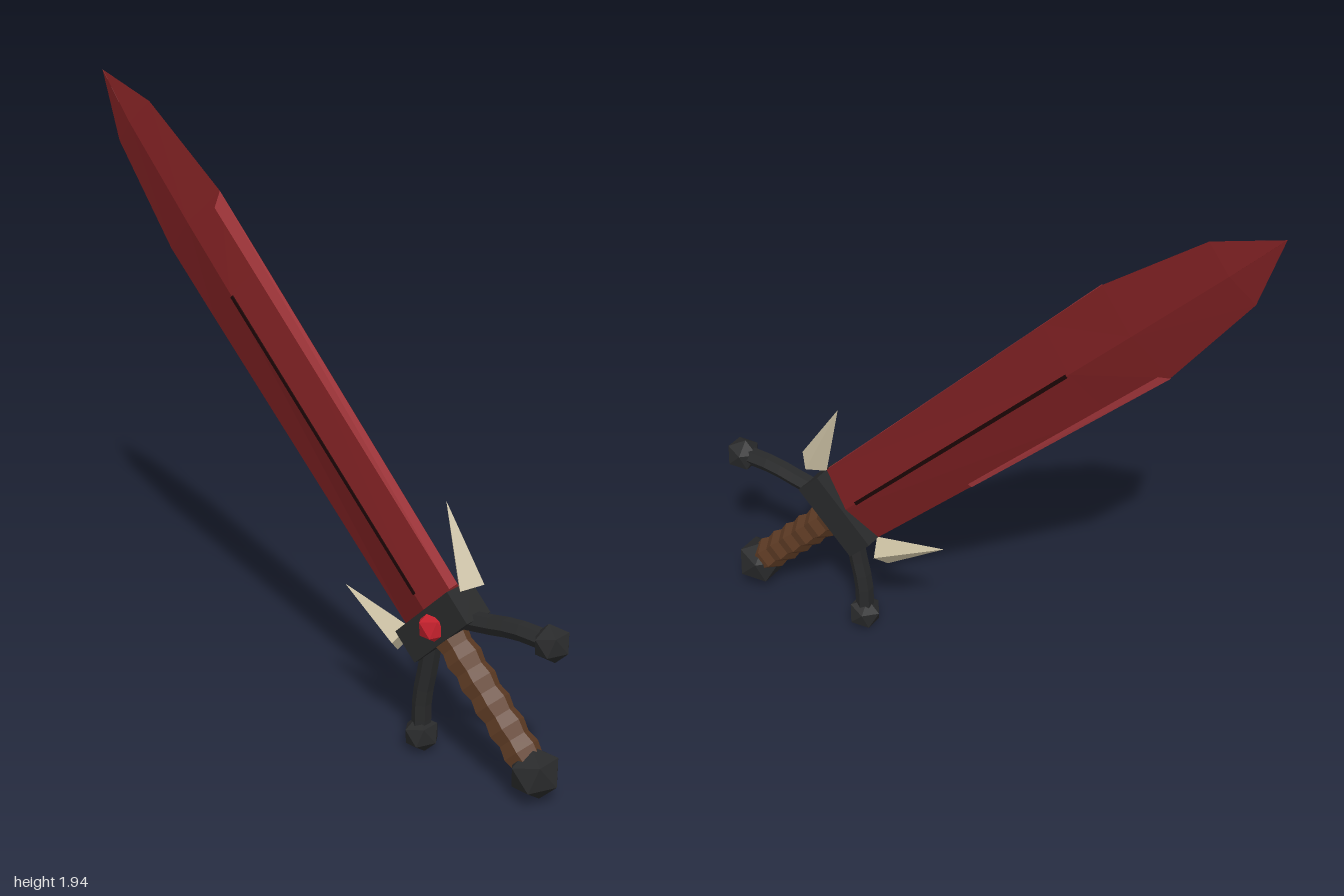
import * as THREE from 'three';

const mat = (name, color, side = THREE.FrontSide) =>
  new THREE.MeshStandardMaterial({ name, color, side, flatShading: true });

// Lofts diamond cross-sections [height, half width, half thickness] into a closed solid.
function diamondLoft(sections) {
  const pos = [], idx = [];
  for (const [y, w, t] of sections) pos.push(w, y, 0, 0, y, t, -w, y, 0, 0, y, -t);
  for (let i = 0; i < sections.length - 1; i++) {
    for (let j = 0; j < 4; j++) {
      const a = i * 4 + j, b = i * 4 + (j + 1) % 4;
      idx.push(a, a + 4, b, b, a + 4, b + 4);
    }
  }
  idx.push(0, 1, 2, 0, 2, 3);
  const g = new THREE.BufferGeometry();
  g.setAttribute('position', new THREE.Float32BufferAttribute(pos, 3));
  g.setIndex(idx);
  const flat = g.toNonIndexed();
  flat.computeVertexNormals();
  return flat;
}

// Thin sheet lying on the front bevel along one cutting edge.
function edgeStrip(y0, w0, y1, w1, width) {
  const z = 0.038 * width / 0.15 + 0.003;
  const g = new THREE.BufferGeometry();
  g.setAttribute('position', new THREE.Float32BufferAttribute([
    w0 - width * 0.6, y0, z, w0 + 0.002, y0, 0.002, w1 + 0.002, y1, 0.002,
    w1 - width, y1 - 0.03, z], 3));
  g.setIndex([0, 1, 2, 0, 2, 3]);
  g.computeVertexNormals();
  return g;
}

export function createModel() {
  const red = mat('blade red', 0x7a1f21);
  const lightRed = mat('edge red', 0xa8383d, THREE.DoubleSide);
  const groove = mat('groove black', 0x1c0506);
  const iron = mat('dark iron', 0x28292a);
  const leather = mat('brown leather', 0x5f3c25);
  const bone = mat('bone', 0xc8bda0);
  const ruby = mat('gem red', 0xc4202c);

  // The sword is built upright, then tilted.
  const sword = new THREE.Group();
  sword.name = 'sword';
  const add = (name, geometry, material, x = 0, y = 0, z = 0) => {
    const m = new THREE.Mesh(geometry, material);
    m.name = name;
    m.position.set(x, y, z);
    sword.add(m);
    return m;
  };

  // Blade with a dark central groove and bright edges
  add('blade', diamondLoft([
    [-0.62, 0.141, 0.04], [0.55, 0.16, 0.038], [0.82, 0.163, 0.034],
    [1.209, 0.106, 0.021], [1.414, 0.0005, 0.0005]]), red);
  add('bladeGroove', new THREE.BoxGeometry(0.012, 1.09, 0.081), groove, 0, -0.007);
  add('frontEdge', edgeStrip(-0.6, 0.141, 0.82, 0.163, 0.045), lightRed);
  add('backEdge', edgeStrip(-0.1, 0.149, 0.82, 0.163, 0.022), lightRed).rotation.y = Math.PI;

  // Guard block and gem
  add('guardBlock', new THREE.BoxGeometry(0.282, 0.112, 0.11), iron, 0, -0.664);
  add('gem', new THREE.IcosahedronGeometry(0.056, 0), ruby, 0, -0.664, 0.036);

  // Curved guard arms, end knobs and spikes on both sides
  for (const s of [-1, 1]) {
    const path = new THREE.CatmullRomCurve3([
      [0.085, -0.695], [0.166, -0.753], [0.251, -0.812], [0.343, -0.902],
    ].map(([x, y]) => new THREE.Vector3(s * x, y, 0)));
    add('guardArm', new THREE.TubeGeometry(path, 6, 0.031, 6), iron);
    add('guardKnob', new THREE.IcosahedronGeometry(0.06, 0), iron, s * 0.341, -0.902);
    const spike = add('spike', new THREE.ConeGeometry(0.052, 0.265, 4), bone, s * 0.235, -0.508);
    spike.rotation.z = -s * 0.38;
  }

  // Six-sided rippled grip
  const profile = [new THREE.Vector2(0, -1.15)];
  for (let i = 0; i <= 11; i++) {
    profile.push(new THREE.Vector2(i % 2 ? 0.06 : 0.051, -1.15 + i * 0.04));
  }
  const grip = new THREE.LatheGeometry(profile, 6);
  grip.rotateY(Math.PI / 6);
  add('grip', grip, leather);

  // Pommel
  add('pommel', new THREE.IcosahedronGeometry(0.084, 0), iron, 0, -1.185);

  sword.rotation.z = Math.PI / 4;
  sword.position.set(0, 1, -0.005);
  const model = new THREE.Group();
  model.name = 'model';
  model.add(sword);
  return model;
}
